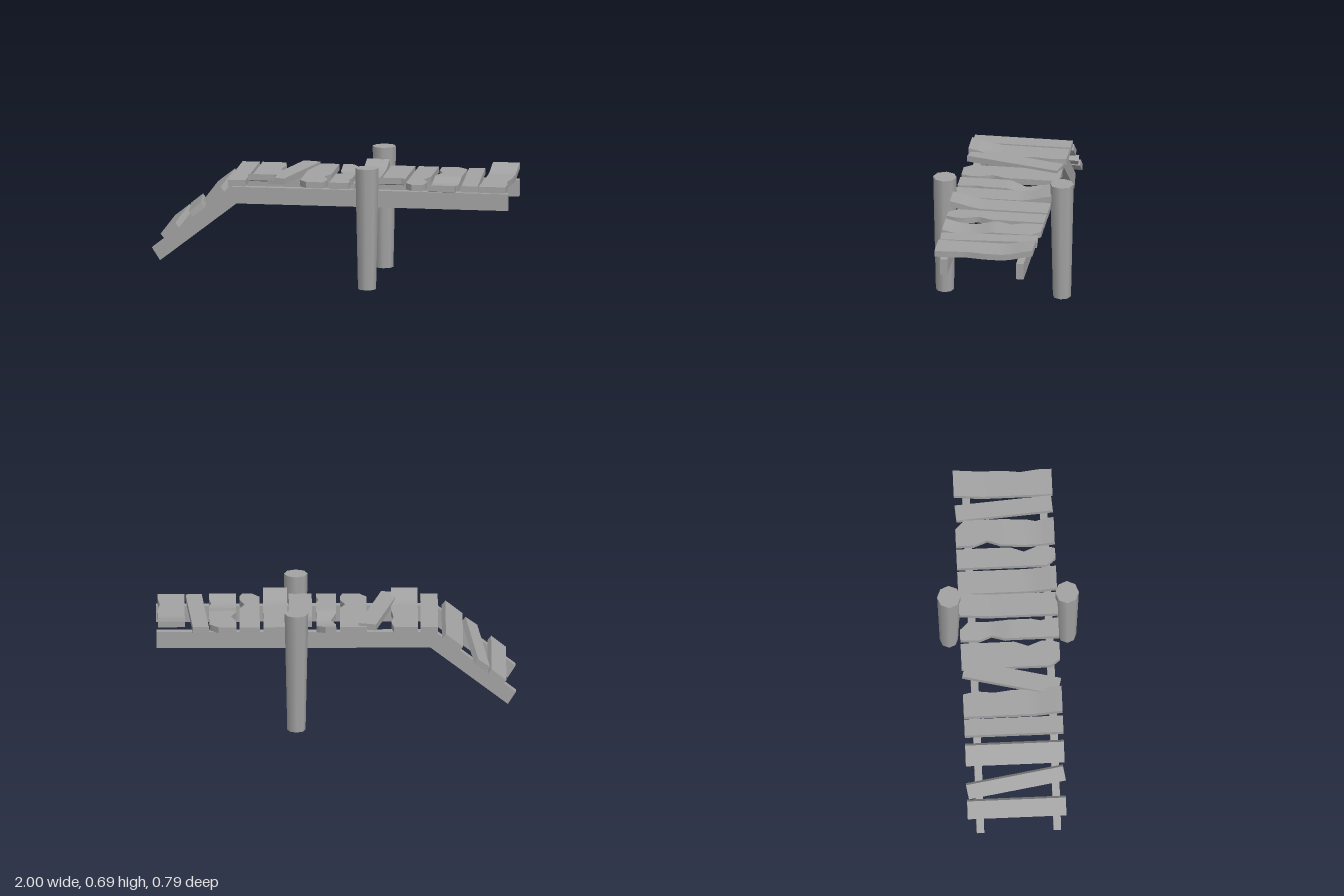
import * as THREE from 'three';

const material = new THREE.MeshStandardMaterial({ color: 0xa2a2a2 });
const HALF = 0.275;   // half length of a plank
const THICK = 0.035;

// piecewise linear value through points [z, value], zero outside them
function sample(points, z) {
  for (let i = 1; i < points.length; i++) {
    const [z0, a] = points[i - 1], [z1, b] = points[i];
    if (z >= z0 - 1e-4 && z <= z1 + 1e-4) return a + (b - a) * (z - z0) / (z1 - z0);
  }
  return 0;
}

// the same bend seen from the other end of the plank
const flip = (points) => points.map(([z, v]) => [-z, v]).reverse();

// a board along z whose edges may be chipped and whose length may be bent
function plank(name, width, { left = [], right = [], bend = [], length = HALF * 2 } = {}) {
  const shaped = left.length + right.length + bend.length > 0;
  const geo = new THREE.BoxGeometry(width, THICK, length, 1, 1, shaped ? 22 : 1);
  const p = geo.attributes.position;
  for (let i = 0; i < p.count; i++) {
    const x = p.getX(i), z = p.getZ(i);
    p.setX(i, x + sample(x < 0 ? left : right, z));
    p.setY(i, p.getY(i) + sample(bend, z));
  }
  geo.computeVertexNormals();
  const mesh = new THREE.Mesh(geo, material);
  mesh.name = name;
  return mesh;
}

// side beam: level run with a ramp bending down at -x
function beam(z) {
  const shape = new THREE.Shape([
    [-1, 0.183], [-0.955, 0.112], [-0.525, 0.446], [1, 0.446], [1, 0.54], [-0.55, 0.54],
  ].map(([x, y]) => new THREE.Vector2(x, y)));
  const geo = new THREE.ExtrudeGeometry(shape, { depth: 0.042, bevelEnabled: false });
  geo.translate(0, 0, -0.021);
  const mesh = new THREE.Mesh(geo, material);
  mesh.position.z = z;
  mesh.name = 'sideBeam';
  return mesh;
}

export function createModel() {
  const model = new THREE.Group();
  model.name = 'boardwalk';

  // beams, slightly nearer the middle at the back
  model.add(beam(0.222), beam(-0.206));

  // tapered posts on both sides
  for (const side of [1, -1]) {
    const post = new THREE.Mesh(new THREE.CylinderGeometry(0.066, 0.051, 0.685, 8), material);
    post.position.set(0.222, 0.3425, side * 0.329);
    post.name = 'post';
    model.add(post);
  }

  // bends and chipped edges
  const frontUp = [[0.1, 0], [0.15, 0.007], [0.225, 0.026], [0.275, 0.036]];
  const frontSag = [[0, 0], [0.05, -0.012], [0.1, -0.022], [0.15, -0.023], [0.2, -0.018], [0.275, 0]];
  const chipA = {
    left: [[-0.175, 0], [-0.1, 0.028], [-0.025, 0]],
    right: [[-0.275, -0.05], [-0.225, 0], [0.125, 0], [0.175, -0.012], [0.225, 0]],
  };
  const chipB = {
    left: [[0.225, 0], [0.275, 0.04]],
    right: [[0.025, 0], [0.1, -0.028], [0.175, 0], [0.225, 0], [0.275, -0.015]],
  };

  // deck boards: x start, x end, shape, turn about y, height
  const deck = [
    [-0.567, -0.47],
    [-0.455, -0.307, { bend: frontUp, right: [[-0.275, -0.015], [-0.2, 0], [-0.1, -0.012], [0, 0]] }],
    [-0.287, -0.187, { length: 0.54 }, -0.24, 0.583],
    [-0.17, -0.022, chipB],
    [0, 0.11, { ...chipA, bend: flip(frontSag) }],
    [0.134, 0.262, { bend: flip(frontUp) }],
    [0.272, 0.405, { bend: frontUp }],
    [0.425, 0.537, chipB],
    [0.556, 0.706, { ...chipA, bend: frontSag }],
    [0.727, 0.817, { length: 0.54 }, 0.07],
    [0.842, 0.992, { bend: flip(frontUp), right: [[0, 0], [0.1, -0.012], [0.2, 0]] }],
  ];
  for (const [x0, x1, shape, turn = 0, y = 0.568] of deck) {
    const board = plank('deckBoard', x1 - x0, shape);
    board.position.set((x0 + x1) / 2, y, 0);
    board.rotation.y = turn;
    model.add(board);
  }

  // ramp boards: x, y, width, turn within the slope
  const slope = Math.atan2(0.357, 0.45);
  for (const [x, y, width, turn] of [
    [-0.895, 0.288, 0.105, 0], [-0.778, 0.383, 0.085, 0.16], [-0.647, 0.492, 0.122, 0],
  ]) {
    const board = plank('rampBoard', width);
    board.rotation.set(0, turn, slope, 'ZYX');
    board.position.set(x, y, 0);
    model.add(board);
  }
  return model;
}
